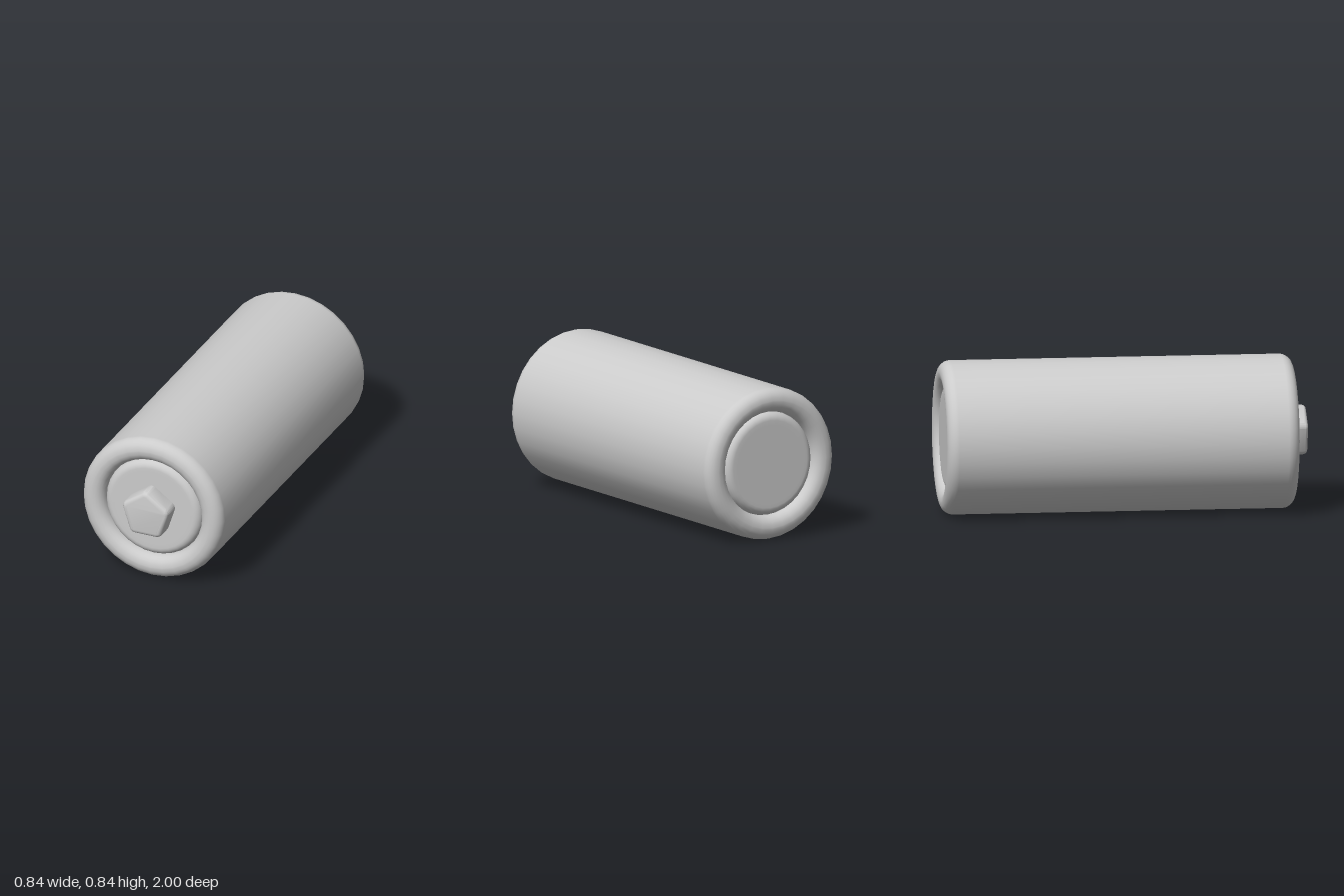
import * as THREE from 'three';
import { toCreasedNormals } from 'three/addons/utils/BufferGeometryUtils.js';

const RADIUS = 0.419, SIDES = 32, BACK = -1, FRONT = 0.925;
const material = new THREE.MeshStandardMaterial({ color: 0xcccccc });

// Quarter-round profile points about a centre (r, z)
function arc(r, z, radius, from, to, steps = 6) {
  return Array.from({ length: steps + 1 }, (_, i) => {
    const a = THREE.MathUtils.degToRad(from + (to - from) * i / steps);
    return new THREE.Vector2(r + radius * Math.cos(a), z + radius * Math.sin(a));
  });
}

// Turned part whose axis runs along z
function turned(name, points) {
  const geometry = new THREE.LatheGeometry(points, SIDES).rotateX(Math.PI / 2);
  const mesh = new THREE.Mesh(geometry, material);
  mesh.name = name;
  mesh.position.y = RADIUS;
  return mesh;
}

// Pentagon with rounded corners, point up
function pentagon(cornerDistance, cornerRadius) {
  const shape = new THREE.Shape();
  for (let i = 0; i < 5; i++) {
    const a = Math.PI / 2 + i * Math.PI * 2 / 5;
    shape.absarc(cornerDistance * Math.cos(a), cornerDistance * Math.sin(a),
      cornerRadius, a - Math.PI / 5, a + Math.PI / 5, false);
  }
  return shape;
}

export function createModel() {
  const group = new THREE.Group();
  group.name = 'battery';

  // Outer sleeve with a rolled rim at both ends
  const b = 0.062, inner = 0.287;
  group.add(turned('sleeve', [
    new THREE.Vector2(inner, BACK + 0.12),
    ...arc(inner + b, BACK + b, b, -180, -90),
    ...arc(RADIUS - b, BACK + b, b, -90, 0),
    ...arc(RADIUS - b, FRONT - b, b, 0, 90),
    ...arc(inner + b, FRONT - b, b, 90, 180),
    new THREE.Vector2(inner, FRONT - 0.12),
  ]));

  // Core whose bevelled end discs sit just inside the rims
  const c = 0.045, coreBack = BACK + 0.025, coreFront = FRONT - 0.025;
  group.add(turned('core', [
    new THREE.Vector2(0, coreBack),
    new THREE.Vector2(0.22, coreBack),
    ...arc(inner - c, coreBack + c, c, -90, 0),
    ...arc(inner - c, coreFront - c, c, 0, 90),
    new THREE.Vector2(0.22, coreFront),
    new THREE.Vector2(0, coreFront),
  ]));

  // Five-sided contact at the front
  const bevel = 0.025, base = 0.85;
  const contactGeometry = new THREE.ExtrudeGeometry(pentagon(0.103, 0.013), {
    depth: 1 - base - 2 * bevel, bevelSize: bevel, bevelThickness: bevel,
    bevelSegments: 4, curveSegments: 5,
  });
  const contact = new THREE.Mesh(toCreasedNormals(contactGeometry, 0.8), material);
  contact.name = 'contact';
  contact.position.set(0, RADIUS, base + bevel);
  group.add(contact);

  return group;
}
